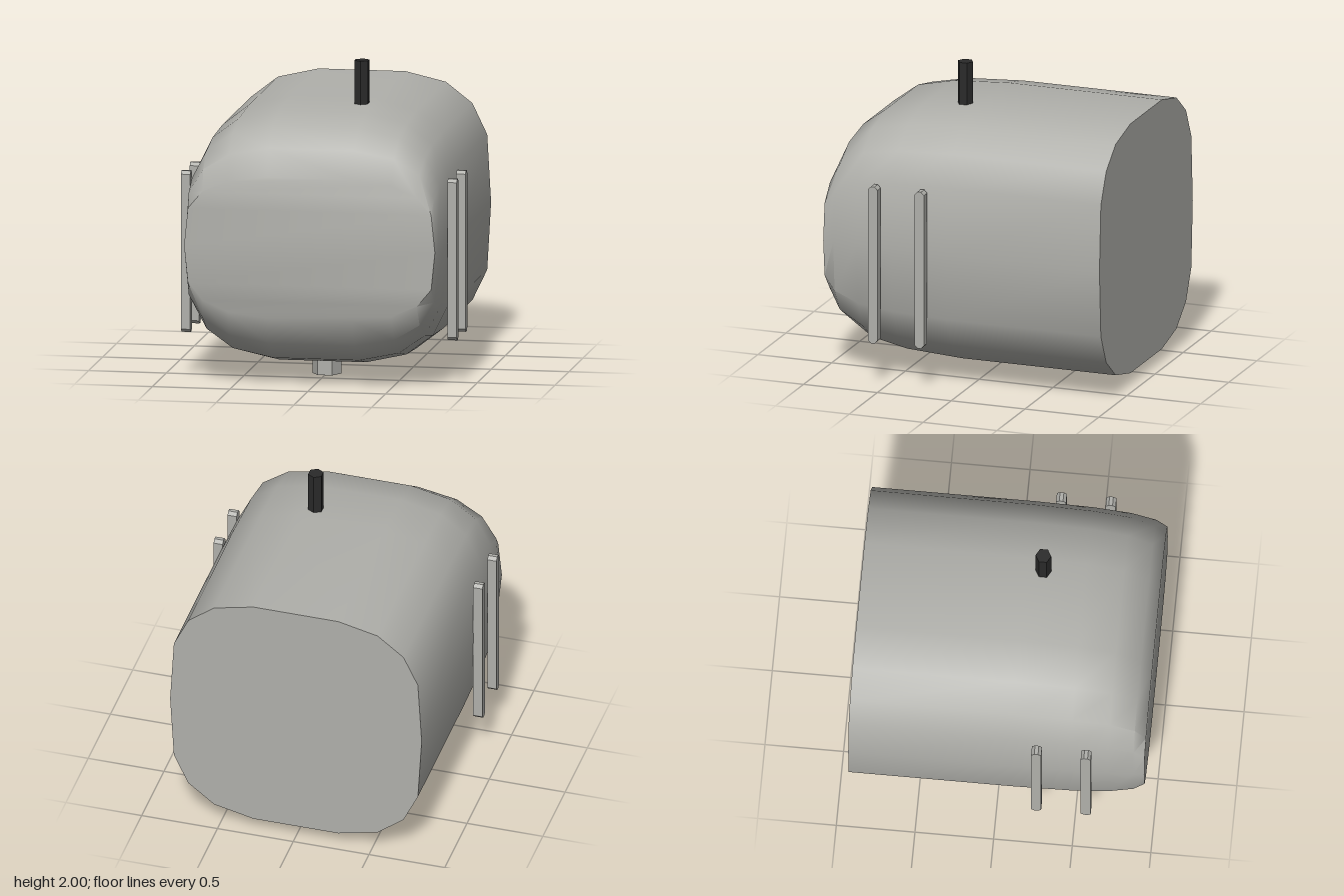
import * as THREE from 'three';
import { toCreasedNormals } from 'three/addons/utils/BufferGeometryUtils.js';

const shellMat = new THREE.MeshStandardMaterial({ color: 0xb0b0ab });
shellMat.name = 'warm grey';
const darkMat = new THREE.MeshStandardMaterial({ color: 0x2a2a2a });
darkMat.name = 'near black';

function add(parent, name, geometry, material, x = 0, y = 0, z = 0) {
  const mesh = new THREE.Mesh(geometry, material);
  mesh.name = name;
  mesh.position.set(x, y, z);
  parent.add(mesh);
  return mesh;
}

// Rounded-square section lofted along z, with the nose squeezed vertically
function bodyGeometry() {
  const corner = [[0.28, 0.825], [0.54, 0.765], [0.71, 0.633], [0.805, 0.435]];
  const right = [...corner, [0.83, 0], ...corner.map(([x, y]) => [x, -y]).reverse()];
  const section = [...right, ...right.map(([x, y]) => [-x, y]).reverse()];
  // z, x scale, y scale
  const stations = [
    [-0.94, 1, 1], [0.1, 1, 1], [0.47, 0.998, 0.97],
    [0.71, 0.99, 0.905], [0.87, 0.98, 0.76], [0.94, 0.972, 0.55],
  ];
  const n = section.length, last = stations.length - 1;
  const positions = [];
  const put = (k, i) => {
    const [z, sx, sy] = stations[k];
    const [x, y] = section[i % n];
    positions.push(x * sx, y * sy, z);
  };
  const quad = (a, b, c, d) => [a, b, c, a, c, d].forEach((p) => put(...p));
  for (let k = 0; k < last; k++) {
    for (let i = 0; i < n; i++) quad([k, i], [k + 1, i], [k + 1, i + 1], [k, i + 1]);
  }
  // End caps as horizontal strips between mirrored points
  for (let i = 0; i < n / 2 - 1; i++) {
    const m = n - 1 - i;
    quad([last, i], [last, m], [last, m - 1], [last, i + 1]);
    quad([0, i], [0, i + 1], [0, m - 1], [0, m]);
  }
  const geometry = new THREE.BufferGeometry();
  geometry.setAttribute('position', new THREE.Float32BufferAttribute(positions, 3));
  return toCreasedNormals(geometry, 0.8);
}

// Upright bar with chamfered ends, extruded along x
function barGeometry() {
  const w = 0.032, h = 0.518, c = 0.02;
  const shape = new THREE.Shape([
    [w, -h + c], [w, h - c], [w - c, h], [-w + c, h],
    [-w, h - c], [-w, -h + c], [-w + c, -h], [w - c, -h],
  ].map(([x, y]) => new THREE.Vector2(x, y)));
  return new THREE.ExtrudeGeometry(shape, { depth: 0.06, bevelEnabled: false })
    .translate(0, 0, -0.03).rotateY(Math.PI / 2);
}

export function createModel() {
  const model = new THREE.Group();
  model.name = 'roundedCapsule';

  add(model, 'body', bodyGeometry(), shellMat, 0, 0.905, 0);

  // Paired side bars
  const bar = barGeometry();
  for (const side of [1, -1]) {
    for (const z of [0.26, 0.575]) {
      add(model, side > 0 ? 'leftBar' : 'rightBar', bar, shellMat, side * 0.857, 0.803, z);
    }
  }

  // Hexagonal top post and bottom stud
  const post = new THREE.CylinderGeometry(0.05, 0.05, 0.28, 6);
  add(model, 'topPost', toCreasedNormals(post, 0.5), darkMat, 0.205, 1.86, 0.205);
  const stud = new THREE.CylinderGeometry(0.093, 0.093, 0.1, 6).rotateY(Math.PI / 6);
  add(model, 'bottomStud', toCreasedNormals(stud, 0.5), shellMat, 0, 0.05, 0.32);

  return model;
}
